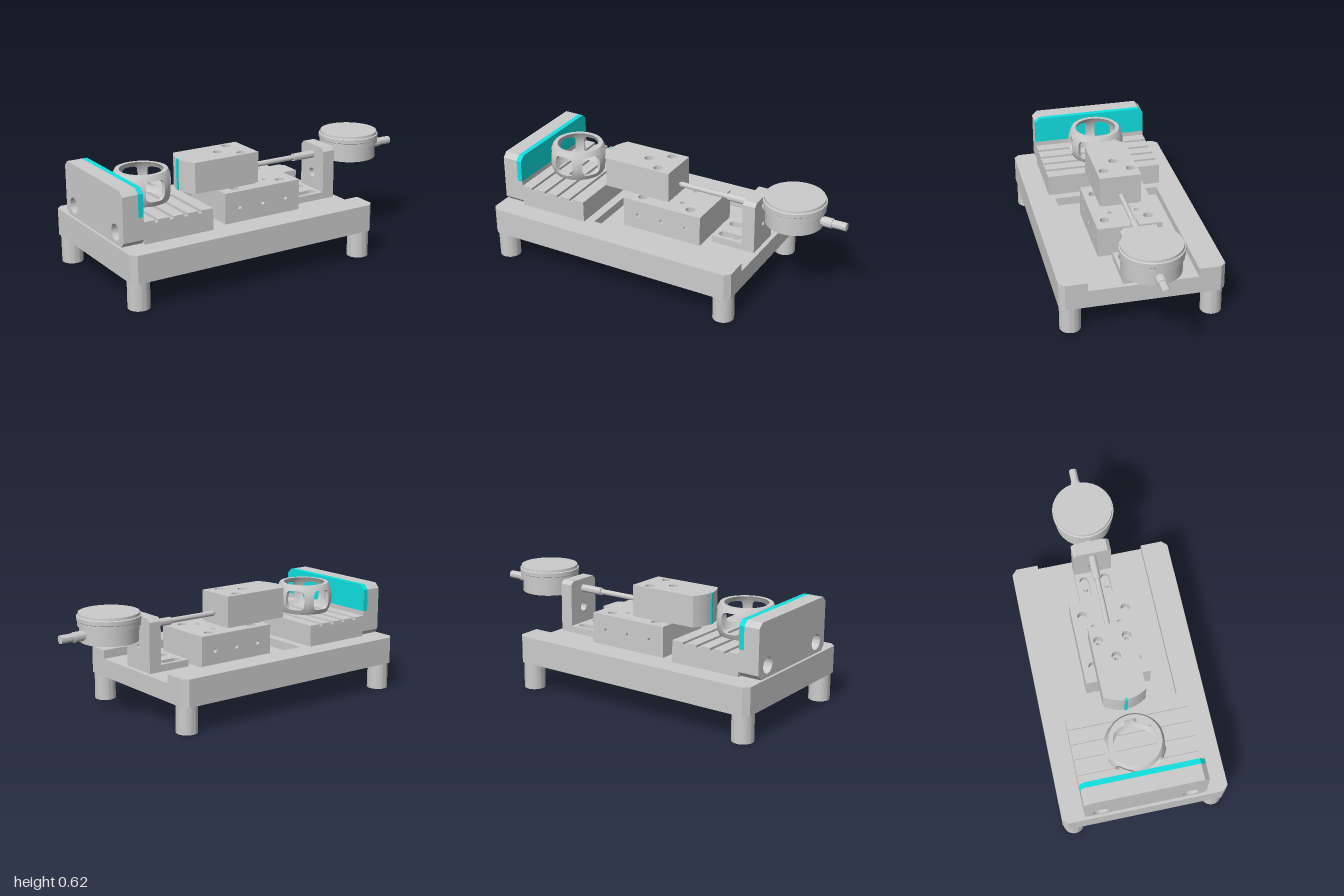
import * as THREE from 'three';
import { toCreasedNormals } from 'three/addons/utils/BufferGeometryUtils.js';

const grey = new THREE.MeshStandardMaterial({ color: 0xcccccc });
const cyan = new THREE.MeshStandardMaterial({ color: 0x10e0e0 });

export function createModel() {
  const root = new THREE.Group();

  function add(name, geo, mat = grey) {
    const mesh = new THREE.Mesh(geo, mat);
    mesh.name = name;
    root.add(mesh);
    return mesh;
  }

  // Shape from corner points with round holes [x, y, r]
  function outline(points, holes = []) {
    const s = new THREE.Shape(points.map(p => new THREE.Vector2(p[0], p[1])));
    for (const [x, y, r] of holes) s.holes.push(new THREE.Path().absarc(x, y, r, 0, Math.PI * 2, true));
    return s;
  }
  const rect = (x0, x1, y0, y1) => [[x0, y0], [x1, y0], [x1, y1], [x0, y1]];
  const chamfered = (x0, x1, y0, y1, c, low = c) => [
    [x0 + low, y0], [x1 - low, y0], [x1, y0 + low], [x1, y1 - c],
    [x1 - c, y1], [x0 + c, y1], [x0, y1 - c], [x0, y0 + low]];

  // Extrude a shape between two positions along one axis
  function slab(name, shape, axis, from, to, mat) {
    let g = new THREE.ExtrudeGeometry(shape, { depth: to - from, bevelEnabled: false, curveSegments: 20 });
    if (axis === 'y') g.rotateX(-Math.PI / 2).translate(0, from, 0);
    else if (axis === 'x') g.rotateY(Math.PI / 2).translate(from, 0, 0);
    else g.translate(0, 0, from);
    return add(name, toCreasedNormals(g, 0.5), mat);
  }

  // Turned part, profile as [radius, height]
  function turned(points) {
    const g = new THREE.LatheGeometry(points.map(p => new THREE.Vector2(p[0], p[1])), 48);
    return toCreasedNormals(g, 0.5);
  }

  // Base with an open channel at the right end
  const baseHoles = [];
  for (const x of [-0.76, -0.58]) for (const z of [-0.21, 0.21]) baseHoles.push([x, z, 0.024]);
  slab('baseFloor', outline(chamfered(-1, 0.535, -0.465, 0.465, 0.03), baseHoles), 'y', 0.155, 0.26);
  slab('baseRim', outline([
    [-0.97, -0.465], [0.505, -0.465], [0.535, -0.435], [0.535, -0.31], [-0.4, -0.31], [-0.4, 0.31],
    [0.535, 0.31], [0.535, 0.435], [0.505, 0.465], [-0.97, 0.465], [-1, 0.435], [-1, -0.435]]), 'y', 0.26, 0.31);

  // Hollow-ended legs
  const leg = turned([[0, 0.1], [0.03, 0.1], [0.03, 0], [0.06, 0], [0.06, 0.156], [0, 0.156]]);
  for (const x of [-0.938, 0.475]) for (const z of [-0.4, 0.4]) add('leg', leg).position.set(x, 0, z);

  // Fixed jaw: upright wall, cyan pad and grooved bed
  const wall = chamfered(-0.34, 0.34, 0.31, 0.615, 0.028);
  slab('jawWallBack', outline(wall, [[-0.25, 0.375, 0.045], [0.25, 0.375, 0.045]]), 'x', -0.985, -0.93);
  slab('jawWall', outline(wall), 'x', -0.93, -0.895);
  slab('jawWallFoot', outline(chamfered(-0.34, 0.34, 0.31, 0.46, 0, 0.028)), 'x', -0.895, -0.865);
  slab('jawPad', outline(chamfered(-0.34, 0.34, 0.46, 0.615, 0.028, 0)), 'x', -0.895, -0.865, cyan);
  const bed = [[-0.865, 0.31], [-0.45, 0.31], [-0.45, 0.433]];
  for (const x of [-0.53, -0.615, -0.7, -0.79])
    bed.push([x + 0.011, 0.433], [x + 0.011, 0.418], [x - 0.011, 0.418], [x - 0.011, 0.433]);
  bed.push([-0.865, 0.433]);
  slab('jawBed', outline(bed), 'z', -0.34, 0.34);

  // Spherical cage ring: six sectors, each swept around its rounded window
  function cageSector() {
    const N = 64, pos = [], idx = [];
    const path = [[0, 0.168], [0.5, 0.168], [1, 0.168], [1, 0.148], [0.5, 0.148], [0, 0.148], [0, 0.168]];
    const power = v => Math.sign(v) * Math.abs(v) ** 0.45;
    for (let i = 0; i <= N; i++) {
      const t = i / N * Math.PI * 2, c = Math.cos(t), s = Math.sin(t), m = Math.max(Math.abs(c), Math.abs(s));
      for (const [k, R] of path) {
        const phi = (1 - k) * c / m * Math.PI / 6 + k * power(c) * 0.35;
        const y = (1 - k) * s / m * 0.087 + k * power(s) * 0.058;
        const r = Math.sqrt(R * R - y * y);
        pos.push(r * Math.sin(phi), y, r * Math.cos(phi));
      }
    }
    const P = path.length;
    for (let i = 0; i < N; i++) for (let k = 0; k < P - 1; k++) {
      const a = i * P + k, b = a + P;
      idx.push(a, b, b + 1, a, b + 1, a + 1);
    }
    const g = new THREE.BufferGeometry();
    g.setAttribute('position', new THREE.Float32BufferAttribute(pos, 3));
    g.setIndex(idx);
    return toCreasedNormals(g, 0.6);
  }
  const sector = cageSector();
  for (let i = 0; i < 6; i++) {
    const m = add('cageRing', sector);
    m.position.set(-0.695, 0.519, 0);
    m.rotation.y = i * Math.PI / 3;
  }

  // Slide carriage: core with counterbores, side cheeks with screw holes
  const top = [];
  for (const z of [-1, 1]) top.push([0.12, z * 0.125, 0.026], [-0.185, z * 0.125, 0.026], [0.045, z * 0.075, 0.013]);
  slab('carriageCore', outline(rect(-0.278, 0.212, -0.165, 0.165)), 'y', 0.26, 0.38);
  slab('carriageTop', outline(rect(-0.278, 0.212, -0.165, 0.165), top), 'y', 0.38, 0.437);
  const cheek = outline(rect(-0.278, 0.212, 0.26, 0.437), [-0.185, -0.033, 0.12].map(x => [x, 0.345, 0.012]));
  slab('carriageCheek', cheek, 'z', 0.165, 0.185);
  slab('carriageCheek', cheek, 'z', -0.185, -0.165);

  // Moving jaw with a bowed nose and a cyan contact strip
  const nose = [[-0.022, -0.12], [-0.022, 0.12]];
  for (let i = 0; i <= 16; i++) {
    const z = 0.12 - 0.24 * i / 16;
    nose.push([-0.47 + 0.04 * (z / 0.12) ** 2, z]);
  }
  const jawHoles = r => [[-0.11, -0.08, r], [-0.11, 0.08, r], [-0.215, 0, r]];
  slab('movingJaw', outline(nose, jawHoles(0.013)), 'y', 0.445, 0.56);
  slab('movingJawTop', outline(nose, jawHoles(0.026)), 'y', 0.56, 0.622);
  slab('jawSpacer', outline(rect(-0.27, -0.03, -0.11, 0.11)), 'y', 0.436, 0.446);
  slab('contactStrip', outline(rect(-0.476, -0.46, -0.008, 0.008)), 'y', 0.445, 0.622, cyan);
  add('stopPin', new THREE.CylinderGeometry(0.012, 0.012, 0.04, 20)).position.set(-0.29, 0.427, 0);

  // Gauge bracket: slotted foot and upright
  const foot = outline(rect(0.25, 0.51, -0.11, 0.11));
  for (const z of [-0.062, 0.062]) {
    const slot = new THREE.Path();
    slot.absarc(0.3, z, 0.026, Math.PI * 1.5, Math.PI * 0.5, true);
    slot.absarc(0.385, z, 0.026, Math.PI * 0.5, -Math.PI * 0.5, true);
    slot.closePath();
    foot.holes.push(slot);
    const screw = add('footScrew', new THREE.CylinderGeometry(0.014, 0.014, 0.025, 20));
    screw.position.set(0.345, 0.272, z);
  }
  slab('bracketFoot', foot, 'y', 0.26, 0.3);
  const upright = chamfered(-0.11, 0.11, 0.26, 0.565, 0.02, 0);
  slab('bracketUpright', outline(upright, [[0, 0.395, 0.026]]), 'x', 0.435, 0.475);
  slab('bracketUpright', outline(upright, [[0, 0.395, 0.012]]), 'x', 0.475, 0.51);

  // Dial gauge
  add('gaugeBody', turned([[0, 0.46], [0.16, 0.46], [0.16, 0.545], [0.171, 0.545], [0.171, 0.572], [0.175, 0.575],
    [0.175, 0.598], [0.168, 0.601], [0.166, 0.616], [0, 0.616]])).position.set(0.695, 0, 0);

  // Probe and rear stem, turned along x
  function alongX(name, points) {
    const m = add(name, turned(points.map(([x, r]) => [r, -x]).reverse()));
    m.rotation.z = Math.PI / 2;
    m.position.set(0, 0.507, 0);
  }
  alongX('gaugeProbe', [[-0.02, 0], [-0.017, 0.008], [-0.005, 0.015], [0.02, 0.015], [0.295, 0.015],
    [0.295, 0.022], [0.55, 0.022], [0.55, 0]]);
  alongX('gaugeStem', [[0.83, 0], [0.83, 0.022], [0.865, 0.022], [0.865, 0.028], [0.92, 0.028],
    [0.92, 0.023], [1, 0.023], [1, 0]]);

  return root;
}
